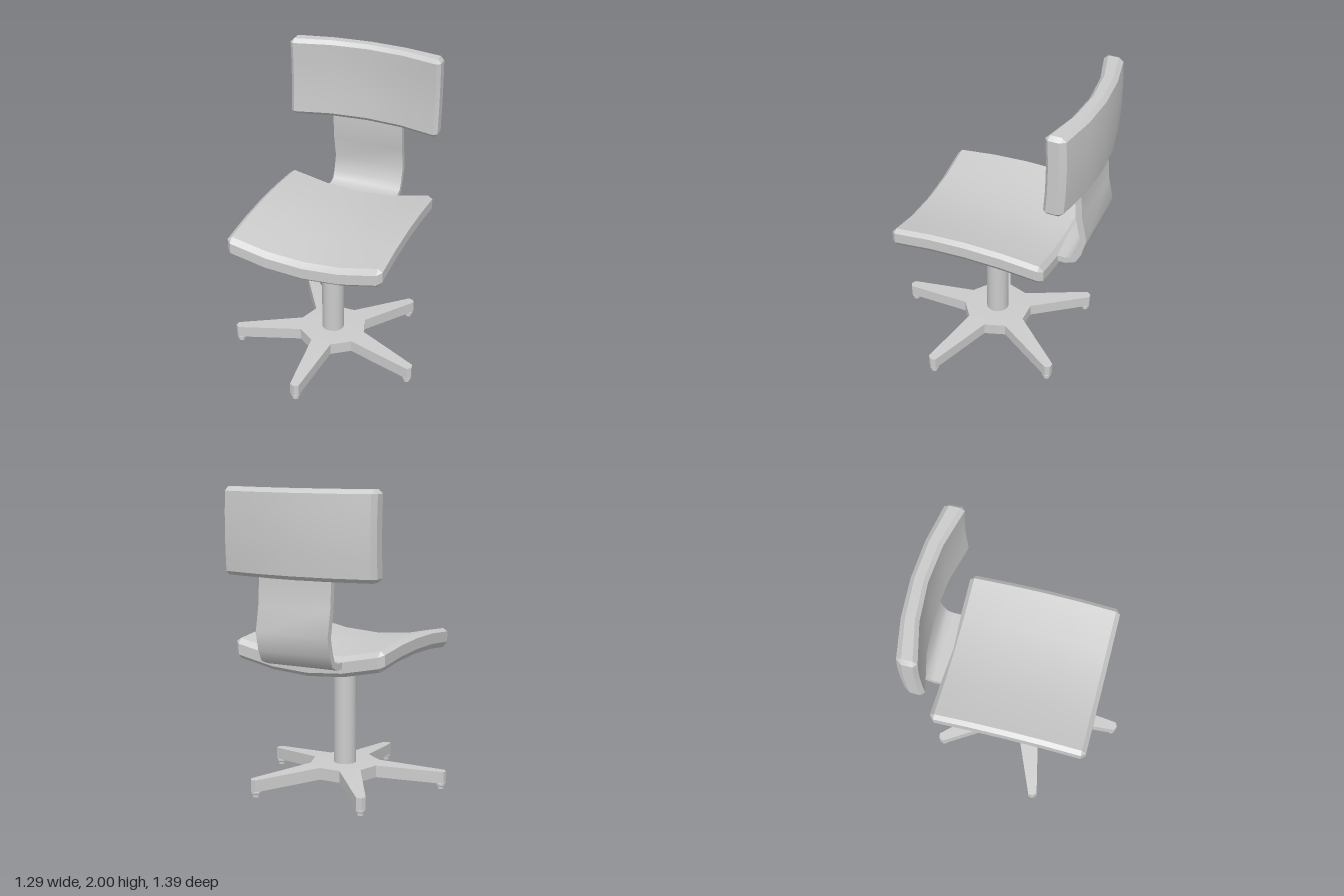
import * as THREE from 'three';
import { toCreasedNormals } from 'three/addons/utils/BufferGeometryUtils.js';

const material = new THREE.MeshStandardMaterial({ color: 0xcccccc });

function part(name, geometry, x = 0, y = 0, z = 0) {
  const mesh = new THREE.Mesh(geometry, material);
  mesh.name = name;
  mesh.position.set(x, y, z);
  return mesh;
}

// Chamfered, subdivided block whose vertices are then bent by a rule
function cushion(size, segments, chamfer, bend) {
  const geo = new THREE.BoxGeometry(...size, ...segments);
  const pos = geo.attributes.position;
  for (let i = 0; i < pos.count; i++) {
    const core = [], d = [];
    for (let a = 0; a < 3; a++) {
      const half = size[a] / 2, n = segments[a], inner = half - chamfer;
      const k = Math.round((pos.getComponent(i, a) / size[a] + 0.5) * n);
      d[a] = k === 0 ? -1 : k === n ? 1 : 0;
      core[a] = d[a] ? d[a] * inner : -inner + (2 * inner * (k - 1)) / (n - 2);
    }
    // dividing by the sum keeps edge and corner points on flat chamfers
    const sum = d.reduce((s, v) => s + Math.abs(v), 0);
    const p = new THREE.Vector3(...core.map((c, a) => c + (chamfer * d[a]) / sum));
    bend(p);
    pos.setXYZ(i, p.x, p.y, p.z);
  }
  geo.deleteAttribute('uv');
  return toCreasedNormals(geo, 0.5);
}

// Star-shaped plate: hub flat, legs tapering and sloping down to pointed tips
function starBase() {
  const points = [];
  const leg = [[-0.07, 0.22], [-0.03, 0.665], [0, 0.68], [0.03, 0.665], [0.07, 0.22]];
  for (let i = 0; i < 5; i++) {
    const turn = (-i * Math.PI * 2) / 5;
    for (const [x, y] of leg) {
      points.push(new THREE.Vector2(x, y).rotateAround(new THREE.Vector2(), turn));
    }
  }
  const geo = new THREE.ExtrudeGeometry(new THREE.Shape(points), { depth: 0.08, bevelEnabled: false });
  geo.rotateX(Math.PI / 2).scale(1, 1, 1);
  const pos = geo.attributes.position;
  for (let i = 0; i < pos.count; i++) {
    const r = Math.hypot(pos.getX(i), pos.getZ(i));
    const drop = 0.037 * Math.max(0, (r - 0.231) / 0.449);
    pos.setY(i, pos.getY(i) + 0.155 - drop);
  }
  return toCreasedNormals(geo, 0.3);
}

// Curved strip supporting the backrest, extruded across the width
function supportStrip() {
  const path = [[-0.45, 0.93], [-0.56, 0.928], [-0.615, 0.95], [-0.645, 1.01],
    [-0.672, 1.12], [-0.638, 1.28], [-0.625, 1.45], [-0.625, 1.56]]
    .map(([z, y]) => new THREE.Vector2(z, y));
  const half = 0.021;
  const side = (s) => path.map((p, i) => {
    const a = path[Math.max(i - 1, 0)], b = path[Math.min(i + 1, path.length - 1)];
    const t = b.clone().sub(a).normalize();
    return new THREE.Vector2(p.x - t.y * half * s, p.y + t.x * half * s);
  });
  const outline = new THREE.Shape([...side(1), ...side(-1).reverse()]);
  const geo = new THREE.ExtrudeGeometry(outline, { depth: 0.5, bevelEnabled: false });
  geo.translate(0, 0, -0.25).rotateY(-Math.PI / 2);
  return toCreasedNormals(geo, 0.8);
}

export function createModel() {
  const chair = new THREE.Group();
  chair.name = 'swivelChair';

  // Saddle-shaped seat: sides rise, front and back fall
  chair.add(part('seat', cushion([1.05, 0.13, 1.04], [6, 3, 6], 0.03, (p) => {
    const fall = p.z > 0 ? 0.034 : 0.028;
    p.y += 0.07 * (p.x / 0.495) ** 2 - fall * (p.z / 0.49) ** 2;
  }), 0, 0.927, 0.01));

  // Backrest wraps forward at both sides
  chair.add(part('backrest', cushion([1.05, 0.545, 0.106], [6, 6, 3], 0.025, (p) => {
    const u = (p.x / 0.5) ** 2;
    p.z = p.z * (1 + 0.2 * u) + 0.072 * u + 0.01 * (p.y / 0.25) ** 2;
  }), 0, 1.7275, -0.643));

  chair.add(part('backSupport', supportStrip()));

  // Column and five-legged base
  chair.add(part('column', new THREE.CylinderGeometry(0.075, 0.075, 0.76, 32), 0, 0.52, 0.01));
  chair.add(part('base', starBase(), 0, 0, 0.01));

  // Small glides under the leg tips
  const glideProfile = [[0, 0], [0.022, 0], [0.022, 0.018], [0.031, 0.024], [0.031, 0.036], [0.018, 0.042], [0.018, 0.06]]
    .map(([r, y]) => new THREE.Vector2(r, y));
  const glide = toCreasedNormals(new THREE.LatheGeometry(glideProfile, 16), 0.5);
  for (let i = 0; i < 5; i++) {
    const a = (i * Math.PI * 2) / 5;
    chair.add(part('footGlide', glide, 0.645 * Math.sin(a), 0, 0.01 + 0.645 * Math.cos(a)));
  }
  return chair;
}
